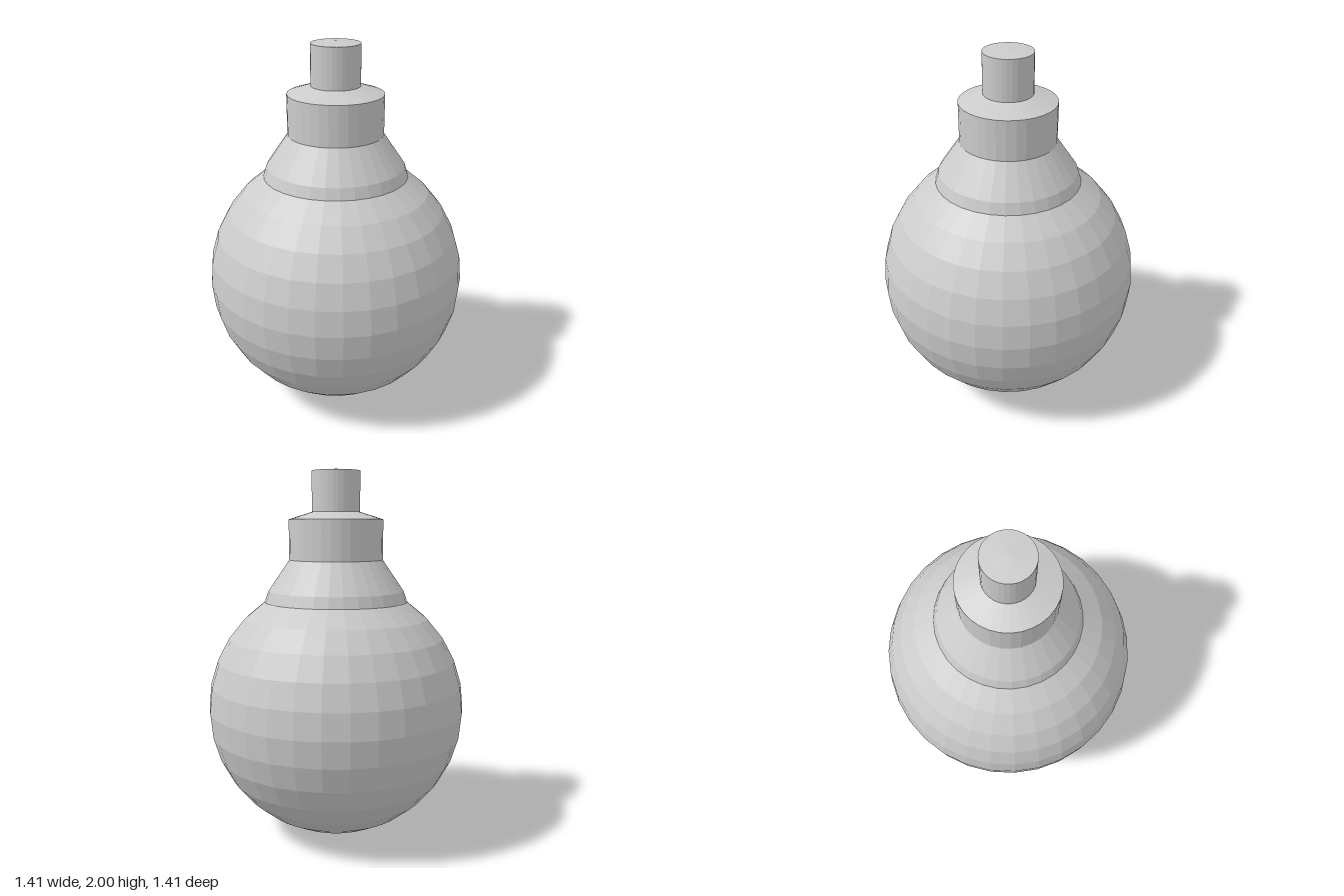
import * as THREE from 'three';

const SIDES = 32;

export function createModel() {
  const group = new THREE.Group();
  const material = new THREE.MeshStandardMaterial({ color: 0xcccccc, flatShading: true });

  const add = (name, geometry) => {
    const mesh = new THREE.Mesh(geometry, material);
    mesh.name = name;
    group.add(mesh);
    return mesh;
  };

  // Turned part from [radius, height] pairs, listed bottom to top
  const turn = (name, profile) =>
    add(name, new THREE.LatheGeometry(profile.map(([r, y]) => new THREE.Vector2(r, y)), SIDES));

  // Round faceted body
  add('body', new THREE.SphereGeometry(0.705, SIDES, 16)).position.y = 0.705;

  // Tapered neck with a bevelled foot resting on the body
  turn('neck', [[0.392, 1.285], [0.37, 1.352], [0.255, 1.52]]);

  // Cylindrical collar with a shallow conical shoulder
  turn('collar', [[0, 1.52], [0.255, 1.52], [0.255, 1.735], [0.13, 1.775]]);

  // Stem with a barely raised tip
  turn('stem', [[0.13, 1.775], [0.13, 1.99], [0, 2]]);

  return group;
}
